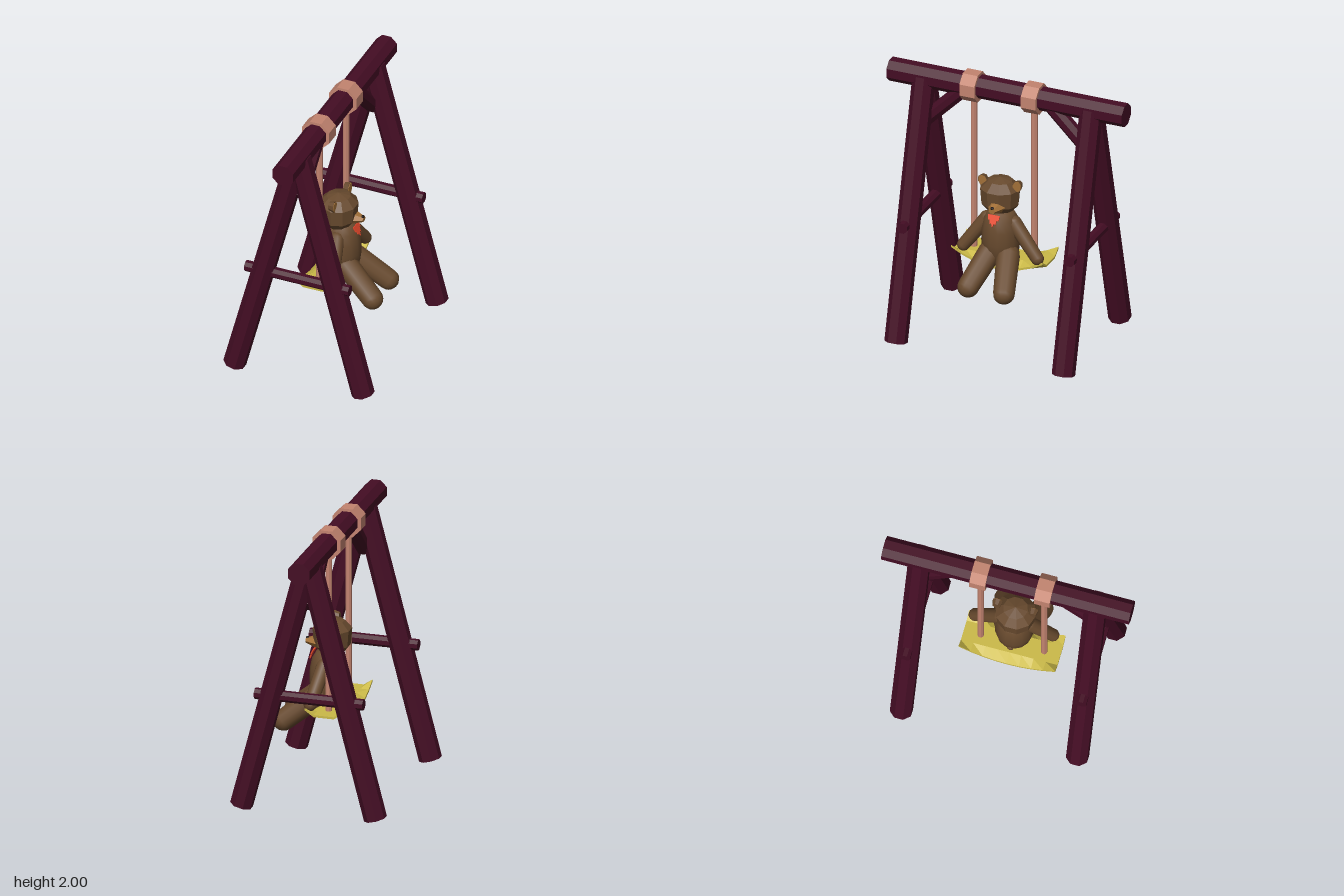
import * as THREE from 'three';

const mat = (name, color) => {
  const m = new THREE.MeshStandardMaterial({ color });
  m.name = name;
  return m;
};

export function createModel() {
  const wood = mat('dark wood', 0x440d24);
  const rope = mat('rope', 0xc38470);
  const plank = mat('seat yellow', 0xcbba48);
  const fur = mat('brown fur', 0x684a2e);
  const tan = mat('tan fur', 0xa27038);
  const red = mat('red cloth', 0xe8492c);
  const black = mat('nose black', 0x1c1412);

  const model = new THREE.Group();
  model.name = 'swing';
  const V = (x, y, z) => new THREE.Vector3(x, y, z);
  const UP = V(0, 1, 0);

  const add = (parent, name, geo, material, pos = V(0, 0, 0)) => {
    const mesh = new THREE.Mesh(geo, material);
    mesh.name = name;
    mesh.position.copy(pos);
    parent.add(mesh);
    return mesh;
  };
  // Facet a geometry by giving every triangle its own normal
  const facet = (geo) => {
    const g = geo.index ? geo.toNonIndexed() : geo;
    g.computeVertexNormals();
    return g;
  };
  // Octagonal bar between two points; r is the distance to its flats
  const bar = (parent, name, a, b, r, material) => {
    const R = r / Math.cos(Math.PI / 8);
    const geo = new THREE.CylinderGeometry(R, R, a.distanceTo(b), 8).rotateY(Math.PI / 8);
    const mesh = add(parent, name, facet(geo), material, a.clone().lerp(b, 0.5));
    mesh.quaternion.setFromUnitVectors(UP, b.clone().sub(a).normalize());
    return mesh;
  };
  // Smooth round-ended limb that swells from radius ra to rb
  const limb = (parent, name, a, b, ra, rb) => {
    const len = a.distanceTo(b);
    const pts = [];
    for (let i = 0; i <= 5; i++) {
      const t = (i / 5 - 1) * Math.PI / 2;
      pts.push(new THREE.Vector2(Math.cos(t) * ra, Math.sin(t) * ra));
    }
    pts[0].x = 0;
    for (let i = 0; i <= 5; i++) {
      const t = (i / 5) * Math.PI / 2;
      pts.push(new THREE.Vector2(Math.cos(t) * rb, len + Math.sin(t) * rb));
    }
    const mesh = add(parent, name, new THREE.LatheGeometry(pts, 12), fur, a);
    mesh.quaternion.setFromUnitVectors(UP, b.clone().sub(a).normalize());
    return mesh;
  };
  const lathe = (profile, sides) =>
    new THREE.LatheGeometry(profile.map(([x, y]) => new THREE.Vector2(x, y)), sides);

  // Frame
  const frame = new THREE.Group();
  frame.name = 'frame';
  model.add(frame);
  bar(frame, 'topBeam', V(-0.01, 1.9, -0.91), V(-0.01, 1.9, 0.91), 0.08, wood);
  for (const s of [-1, 1]) {
    const z = s * 0.647;
    for (const d of [-1, 1]) {
      bar(frame, 'post', V(d * 0.497, 0.022, z), V(-0.002 + d * 0.005, 1.9, z), 0.077, wood);
    }
    bar(frame, 'crossBar', V(-0.41, 0.87, z), V(0.395, 0.87, z), 0.038, wood);
    bar(frame, 'brace', V(0, 1.56, s * 0.64), V(0, 1.87, s * 0.33), 0.052, wood);
  }

  // Ropes and the collars that hold them
  for (const [collarZ, ropeZ] of [[0.277, 0.266], [-0.198, -0.2]]) {
    bar(model, 'collar', V(-0.01, 1.895, collarZ - 0.058), V(-0.01, 1.895, collarZ + 0.058), 0.105, rope);
    bar(model, 'rope', V(-0.01, 0.615, ropeZ), V(-0.01, 1.85, ropeZ), 0.022, rope);
  }

  // Seat: flat middle, long edges that rise at the ends and dip at the centre
  const seat = new THREE.BoxGeometry(0.28, 0.016, 0.71, 4, 1, 8);
  const p = seat.attributes.position;
  for (let i = 0; i < p.count; i++) {
    const edge = Math.abs(p.getX(i)) / 0.14;
    const t = p.getZ(i) / 0.355;
    if (edge > 0.9) p.setY(i, p.getY(i) - 0.06 + 0.105 * t * t);
    else if (edge > 0.4) p.setX(i, Math.sign(p.getX(i)) * 0.075);
  }
  add(model, 'seat', facet(seat), plank, V(-0.01, 0.62, 0.03));

  // Bear, seated and facing +x
  const bear = new THREE.Group();
  bear.name = 'bear';
  model.add(bear);
  add(bear, 'torso', lathe([[0, 0.59], [0.09, 0.6], [0.128, 0.67], [0.14, 0.76], [0.137, 0.86],
    [0.12, 0.94], [0.09, 0.99], [0, 1.02]], 14), fur, V(0.06, 0, 0.028));
  add(bear, 'tail', new THREE.SphereGeometry(0.028, 8, 6), fur, V(-0.05, 0.66, 0.03));

  const head = add(bear, 'head', facet(lathe([[0, -0.135], [0.085, -0.13], [0.138, -0.065], [0.148, 0.055],
    [0.09, 0.112], [0, 0.135]], 10)), fur, V(0.04, 1.107, 0.042));
  head.scale.x = 0.95;

  // Muzzle and nose
  const muzzle = add(bear, 'muzzle', facet(new THREE.CylinderGeometry(0.026, 0.07, 0.1, 6)
    .rotateZ(-Math.PI / 2)), tan, V(0.178, 1.055, 0.025));
  muzzle.scale.y = 0.75;
  const nose = add(bear, 'nose', new THREE.SphereGeometry(0.012, 8, 6), black, V(0.219, 1.074, 0.025));
  nose.scale.z = 1.3;

  // Ears with tan inner faces
  for (const s of [-1, 1]) {
    const ear = new THREE.Group();
    ear.name = 'ear';
    ear.position.set(0.045, 1.2, 0.035 + s * 0.132);
    ear.rotation.x = s * 0.25;
    ear.scale.z = 0.78;
    bear.add(ear);
    add(ear, 'earShell', facet(new THREE.CylinderGeometry(0.048, 0.036, 0.04, 8).rotateZ(-Math.PI / 2)), fur);
    add(ear, 'innerEar', new THREE.CylinderGeometry(0.042, 0.042, 0.006, 8).rotateZ(-Math.PI / 2), tan, V(0.021, 0, 0));
  }

  // Arms and legs
  for (const s of [-1, 1]) {
    limb(bear, 'arm', V(0.065, 0.91, 0.028 + s * 0.105), V(0.105, 0.685, 0.012 + s * 0.285), 0.055, 0.047);
    limb(bear, 'leg', V(0.12, 0.675, 0.016 + s * 0.07), V(0.35, 0.49, 0.016 + s * 0.138), 0.085, 0.078);
  }

  // Ragged neckerchief on the chest
  const cloth = new THREE.Shape();
  [[-0.045, 0.045], [0.045, 0.045], [0.04, 0.005], [0.026, 0.01], [0.022, -0.025], [0.01, -0.015],
    [0, -0.045], [-0.012, -0.015], [-0.024, -0.025], [-0.028, 0.01], [-0.04, 0.005]]
    .forEach(([x, y], i) => (i ? cloth.lineTo(x, y) : cloth.moveTo(x, y)));
  const clothGeo = new THREE.ExtrudeGeometry(cloth, { depth: 0.009, bevelEnabled: false })
    .rotateX(-0.42).rotateY(Math.PI / 2);
  add(bear, 'neckerchief', clothGeo, red, V(0.182, 0.955, 0.033));

  return model;
}
